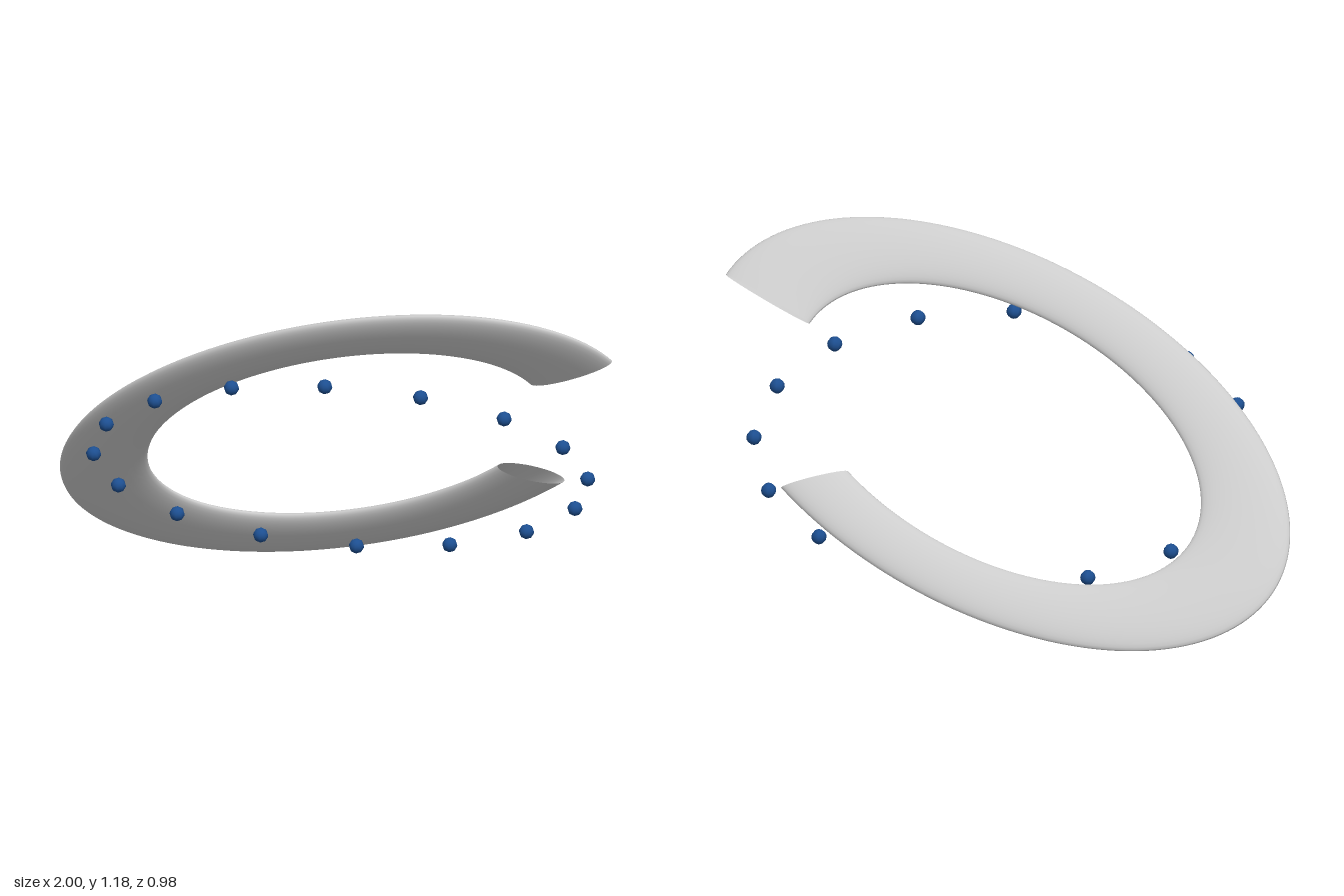
import * as THREE from 'three';

export function createModel() {
  const model = new THREE.Group();

  // Tilted frame shared by the band and the beads
  const tilt = new THREE.Group();
  tilt.name = 'tiltedFrame';
  tilt.position.set(0.022, 0.595, 0);
  tilt.rotation.x = 0.693;
  model.add(tilt);

  // Flattened oval band: an open-ended torus arc, squashed in plane and in depth
  const tube = 0.171;
  const band = new THREE.Mesh(
    new THREE.TorusGeometry(0.944, tube, 32, 128, 5.21),
    new THREE.MeshStandardMaterial({ color: 0xcccccc, side: THREE.DoubleSide })
  );
  band.name = 'openBand';
  band.scale.set(1, 0.56, 0.03 / tube);
  band.rotation.z = 0.5;
  tilt.add(band);

  // Oval of small beads floating in front of the band
  const beads = new THREE.Group();
  beads.name = 'beadRing';
  beads.position.z = 0.135;
  tilt.add(beads);
  const beadGeometry = new THREE.SphereGeometry(0.026, 8, 8);
  const beadMaterial = new THREE.MeshStandardMaterial({ color: 0x1d4f91 });
  const count = 16;
  for (let i = 0; i < count; i++) {
    const angle = (i / count) * Math.PI * 2;
    const bead = new THREE.Mesh(beadGeometry, beadMaterial);
    bead.name = 'bead';
    bead.position.set(0.853 * Math.cos(angle), 0.494 * Math.sin(angle), 0);
    beads.add(bead);
  }

  return model;
}
